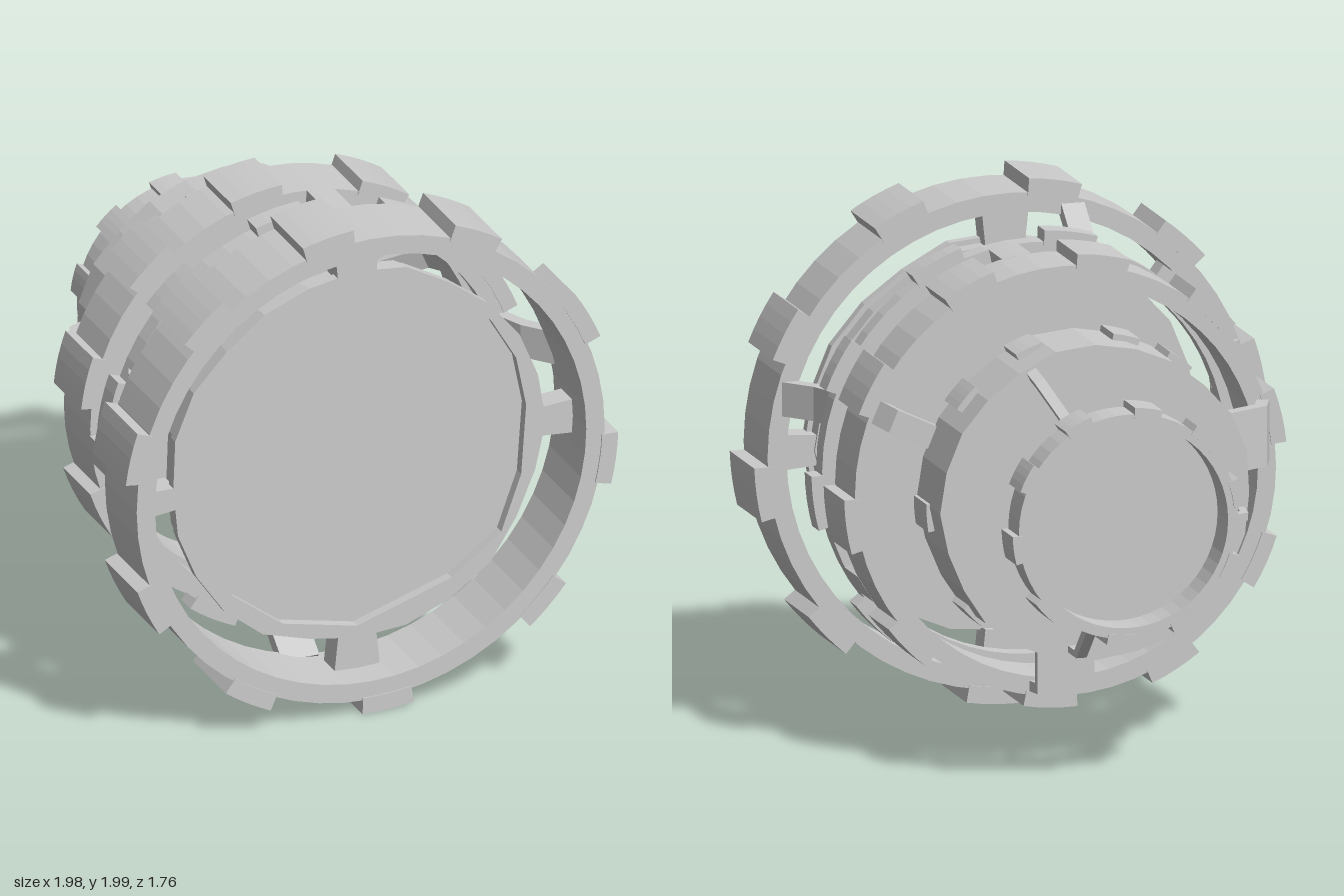
import * as THREE from 'three';

const RAD = Math.PI / 180;
const TOOTH_ANGLES = [100, 64, 28, -8, -44, -86, -120, -155, 167, 133];

export function createModel() {
  const model = new THREE.Group();
  const axis = new THREE.Group();
  axis.name = 'ringAssembly';
  axis.position.set(-0.005, 1.006, 0);
  model.add(axis);
  const material = new THREE.MeshStandardMaterial({ color: 0xcccccc, flatShading: true });

  const add = (name, geometry) => {
    const mesh = new THREE.Mesh(geometry, material);
    mesh.name = name;
    axis.add(mesh);
    return mesh;
  };

  const extrude = (name, shape, z0, z1) => {
    const g = new THREE.ExtrudeGeometry(shape, { depth: z1 - z0, bevelEnabled: false, curveSegments: 28 });
    g.translate(0, 0, z0);
    return add(name, g);
  };

  // Full round hoop
  const hoop = (name, outer, inner, z0, z1) => {
    const shape = new THREE.Shape().absarc(0, 0, outer, 0, Math.PI * 2);
    shape.holes.push(new THREE.Path().absarc(0, 0, inner, 0, Math.PI * 2, true));
    extrude(name, shape, z0, z1);
  };

  // Curved block covering part of a hoop
  const sector = (name, angle, width, inner, outer, z0, z1) => {
    const arc = (r) => [0, 1, 2, 3, 4].map((i) => {
      const a = (angle - width / 2 + (width * i) / 4) * RAD;
      return new THREE.Vector2(Math.cos(a) * r, Math.sin(a) * r);
    });
    return extrude(name, new THREE.Shape([...arc(outer), ...arc(inner).reverse()]), z0, z1);
  };

  // Bent bracket following [radius, z] points inward and back, at one angle, shifted sideways
  const strut = (name, angle, path, thick, width, shift = 0) => {
    const t = thick * 0.36;
    const outline = [
      ...path.map(([r, z]) => new THREE.Vector2(r + t, z - t)),
      ...path.slice().reverse().map(([r, z]) => new THREE.Vector2(r - t, z + t)),
    ];
    const g = new THREE.ExtrudeGeometry(new THREE.Shape(outline), { depth: width, bevelEnabled: false });
    g.translate(0, 0, -width / 2);
    g.rotateX(Math.PI / 2);
    g.translate(0, shift, 0);
    g.rotateZ(angle * RAD);
    add(name, g);
  };

  // Slightly uneven polygon for the hand-cut plates
  const uneven = (radius, amount) => {
    const pts = [];
    for (let i = 0; i < 24; i++) {
      const a = (i / 24) * Math.PI * 2;
      const r = radius + amount * (0.6 * Math.sin(5 * a + 0.5) + 0.4 * Math.sin(9 * a + 2));
      pts.push(new THREE.Vector2(Math.cos(a) * r, Math.sin(a) * r));
    }
    return pts;
  };

  // Large front ring with its teeth
  hoop('frontRing', 0.942, 0.868, 0.58, 0.875);
  for (const a of TOOTH_ANGLES) sector('frontTooth', a, 12, 0.93, 0.995, 0.575, 0.88);

  // Recessed front plate with a raised uneven rim, held by four tabs
  extrude('frontPlate', new THREE.Shape(uneven(0.73, 0.015)), 0.64, 0.71);
  const rim = new THREE.Shape(uneven(0.75, 0.015));
  rim.holes.push(new THREE.Path([
    [-0.11, 0.7], [0.28, 0.67], [0.42, 0.57], [0.54, 0.45], [0.64, 0.28], [0.68, 0.08], [0.66, -0.2], [0.58, -0.42],
    [0.38, -0.57], [0, -0.695], [-0.3, -0.63], [-0.5, -0.48], [-0.62, -0.24], [-0.695, 0], [-0.62, 0.3], [-0.5, 0.5], [-0.3, 0.64],
  ].reverse().map(([x, y]) => new THREE.Vector2(x, y))));
  extrude('frontPlateRim', rim, 0.71, 0.75);
  for (const [a, w] of [[0, 9], [90, 12], [183, 7], [270, 12]])
    sector('plateTab', a, w, 0.73, 0.88, 0.65, 0.75);

  // Middle double ring, toothed and bridged
  for (const [z0, z1] of [[0.31, 0.385], [-0.095, 0.15]]) {
    hoop('middleRing', 0.815, 0.745, z0, z1);
    for (const a of TOOTH_ANGLES)
      sector('middleTooth', a, 14, 0.8, 0.858, z0 - 0.005, z1 + 0.005);
  }
  for (const a of [82, -31, -104, 186]) sector('middleBridge', a, 8, 0.745, 0.815, 0.14, 0.32);

  // Brackets from front ring to middle ring
  for (const [a, w, shift] of [[90, 0.09, 0.24], [180, 0.13, -0.26], [0, 0.13, 0.22], [270, 0.15, -0.17]])
    strut('frontBracket', a, [[0.87, 0.6], [0.78, 0.49], [0.73, 0.37]], 0.05, w, shift);

  // Drum with an uneven edge and small teeth, set slightly off axis
  const drumParts = [extrude('drum', new THREE.Shape(uneven(0.598, 0.01)), -0.54, -0.25)];
  for (const a of [-4, 41, 69, 105, 127, 165, 200, 235, 270, 315])
    drumParts.push(sector('drumTooth', a, 10, 0.57, 0.617, -0.41, -0.255));
  for (const part of drumParts) part.position.set(0.02, 0.014, 0);

  // Brackets from middle ring to drum
  strut('rightDrumBracket', 23, [[0.78, -0.08], [0.74, -0.18], [0.56, -0.27]], 0.05, 0.09);
  strut('leftDrumBracket', 180, [[0.77, -0.08], [0.73, -0.18], [0.54, -0.27]], 0.05, 0.23, -0.14);
  strut('lowerDrumBracket', 270, [[0.77, -0.08], [0.76, -0.18], [0.6, -0.18], [0.54, -0.26]], 0.05, 0.22, 0.03);

  // Small open rear ring with teeth
  hoop('rearRing', 0.425, 0.385, -0.875, -0.745);
  for (const a of TOOTH_ANGLES) sector('rearTooth', a, 14, 0.41, 0.45, -0.88, -0.74);

  // Brackets from drum to rear ring
  strut('upperRearBracket', 63, [[0.59, -0.53], [0.56, -0.59], [0.405, -0.76]], 0.035, 0.04);
  strut('leftRearBracket', 184, [[0.53, -0.53], [0.505, -0.69], [0.4, -0.76]], 0.035, 0.03);
  strut('lowerRearBracket', 270, [[0.53, -0.53], [0.53, -0.63], [0.4, -0.76]], 0.035, 0.04, 0.11);

  return model;
}
